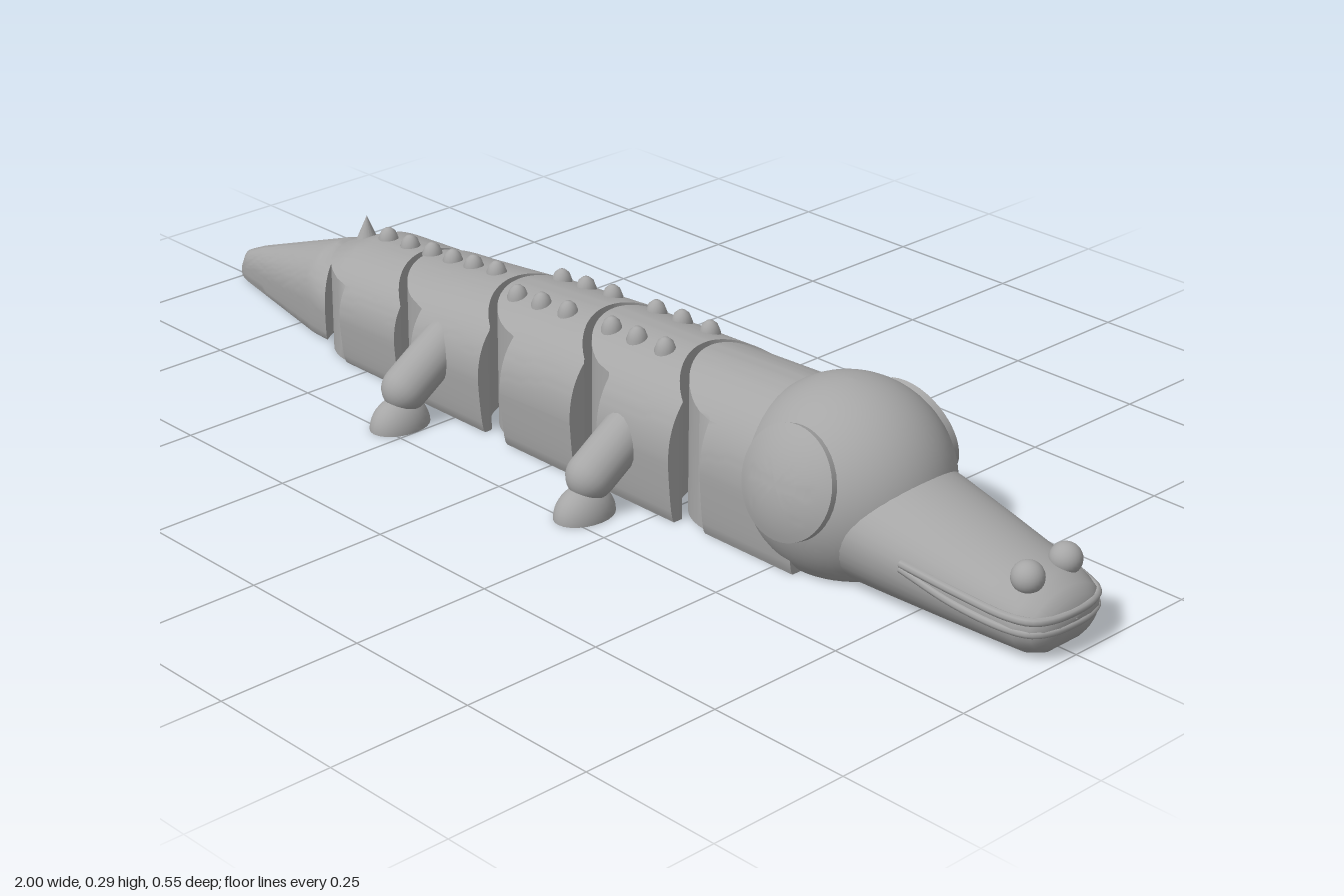
import * as THREE from 'three';
import { toCreasedNormals } from 'three/addons/utils/BufferGeometryUtils.js';

const grey = new THREE.MeshStandardMaterial({ color: 0xa6a6a6 });
grey.name = 'grey plastic';
const greyOpen = grey;

// Linear lookup in a short list of [position, value] pairs
function lookup(table, x) {
  if (x <= table[0][0]) return table[0][1];
  for (let i = 1; i < table.length; i++) {
    const [x0, v0] = table[i - 1], [x1, v1] = table[i];
    if (x <= x1) return v0 + (v1 - v0) * (x - x0) / (x1 - x0);
  }
  return table[table.length - 1][1];
}

const BACK = [[-0.68, 0.165], [-0.6, 0.196], [-0.4, 0.208], [-0.2, 0.23], [0, 0.245], [0.2, 0.25], [0.4, 0.258]];
const backHeight = x => lookup(BACK, x);
const JOINT_R = 0.115, GAP = 0.015, HOLE_R = 0.083;

// Round rear end, stepping out to the full width at the joint centre
const roundRear = c => z => Math.abs(z) < JOINT_R ? c - Math.sqrt(JOINT_R ** 2 - z * z) : c;
// Hollow front end that wraps the next joint
const hollowFront = c => z => c - Math.sqrt((JOINT_R + GAP) ** 2 - Math.min(Math.abs(z), JOINT_R) ** 2);

// Domed, flat-bottomed body: ends follow xl(z) and xr(z); an optional joint hole is cut in the base
function domedBody({ width, height, xl, xr, taper = () => 1, hole = null, nu = 10, nk = 56 }) {
  const pos = [], flat = [];
  const point = (i, k, top) => {
    const t = Math.PI * k / nk, z0 = width * Math.cos(t), u = i / nu;
    const x = xl(z0) + (xr(z0) - xl(z0)) * u, h = height(x), mid = h * 0.42;
    const s = Math.max(0, (Math.abs(Math.cos(t)) - 0.9) / 0.1);
    const y = top ? mid + (h - mid) * Math.pow(Math.max(0, Math.sin(t)), 0.85) : mid * s * s;
    return [x, y, z0 * taper(x)];
  };
  const quad = (a, b, c, d) => pos.push(...a, ...b, ...c, ...a, ...c, ...d);
  for (let k = 0; k <= nk; k++) flat.push(Math.abs(Math.cos(Math.PI * k / nk)) <= 0.9);
  for (let k = 0; k < nk; k++) {
    for (let i = 0; i < nu; i++) {
      quad(point(i, k, true), point(i + 1, k, true), point(i + 1, k + 1, true), point(i, k + 1, true));
      if (!hole || !(flat[k] && flat[k + 1]))
        quad(point(i, k, false), point(i, k + 1, false), point(i + 1, k + 1, false), point(i + 1, k, false));
    }
    quad(point(0, k, true), point(0, k + 1, true), point(0, k + 1, false), point(0, k, false));
    quad(point(nu, k, true), point(nu, k, false), point(nu, k + 1, false), point(nu, k + 1, true));
  }
  if (hole) {
    const left = [], right = [];
    for (let k = 0; k <= nk; k++) if (flat[k]) {
      const a = point(0, k, false), b = point(nu, k, false);
      left.push(new THREE.Vector2(a[0], a[2]));
      right.unshift(new THREE.Vector2(b[0], b[2]));
    }
    const base = new THREE.Shape([...left, ...right]);
    base.holes.push(new THREE.Path().absarc(hole, 0, HOLE_R, 0, Math.PI * 2, true));
    const g = new THREE.ShapeGeometry(base, 20).rotateX(Math.PI / 2).toNonIndexed();
    for (const v of g.attributes.position.array) pos.push(v);
  }
  const geo = new THREE.BufferGeometry();
  geo.setAttribute('position', new THREE.Float32BufferAttribute(pos, 3));
  return toCreasedNormals(geo, 0.6);
}

export function createModel() {
  const model = new THREE.Group();
  model.name = 'jointedCrocodile';
  const socketMaterial = new THREE.MeshStandardMaterial({ color: 0xa6a6a6, side: THREE.DoubleSide });
  socketMaterial.name = 'grey plastic socket';
  const add = (name, geo, x = 0, y = 0, z = 0, material = grey) => {
    const m = new THREE.Mesh(geo, material);
    m.name = name;
    m.position.set(x, y, z);
    model.add(m);
    return m;
  };

  // Body segments from tail to neck, by joint centre and half width
  const joints = [-0.555, -0.345, -0.11, 0.122, 0.348];
  const widths = [0.132, 0.145, 0.15, 0.147, 0.137];
  joints.forEach((c, i) => {
    const last = i === joints.length - 1;
    add(last ? 'neck' : 'bodySegment', domedBody({
      width: widths[i], height: backHeight, hole: c,
      xl: roundRear(c), xr: last ? () => 0.54 : hollowFront(joints[i + 1]),
    }));
    // Hinge under each joint: socket, post and link
    add('hingeSocket', new THREE.CylinderGeometry(HOLE_R, HOLE_R, 0.07, 32, 1, true), c, 0.035, 0, socketMaterial);
    add('hingeSocketRoof', new THREE.CircleGeometry(HOLE_R, 32).rotateX(Math.PI / 2), c, 0.07, 0);
    const ring = new THREE.LatheGeometry([[0.032, 0.06], [0.032, 0.001], [0.06, 0.001], [0.06, 0.06]]
      .map(p => new THREE.Vector2(...p)), 32);
    add('hingeRing', toCreasedNormals(ring, 0.6), c, 0, 0, socketMaterial);
    add('hingeLink', new THREE.BoxGeometry(0.1, 0.05, 0.04), c - 0.1, 0.027, 0);
  });

  // Tail
  add('tail', domedBody({
    width: 0.092, nu: 22, nk: 40, xl: () => -1, xr: hollowFront(joints[0]),
    height: x => lookup([[-1, 0.03], [-0.985, 0.055], [-0.94, 0.075], [-0.7, 0.16], [-0.64, 0.135]], x),
    taper: x => lookup([[-1, 0.12], [-0.98, 0.22], [-0.7, 0.96], [-0.65, 1]], x),
  }));

  // Back studs: one row at the rear, two rows ahead
  const stud = new THREE.LatheGeometry([[0.018, -0.02], [0.018, 0], [0.013, 0.013], [0.006, 0.019], [0, 0.02]]
    .map(p => new THREE.Vector2(...p)), 16);
  for (const x of [-0.575, -0.515, -0.455, -0.4, -0.345, -0.285]) add('backStud', stud, x, backHeight(x), 0);
  for (const x of [-0.175, -0.115, -0.05, 0.055, 0.115, 0.18])
    for (const z of [-0.05, 0.05]) add('backStud', stud, x, backHeight(x) - 0.007, z);
  add('tailSpike', new THREE.ConeGeometry(0.026, 0.06, 16), -0.635, 0.193, 0);

  // Legs: sloping upper leg and domed foot
  for (const x of [-0.292, 0.168]) for (const s of [-1, 1]) {
    const a = new THREE.Vector3(0, 0.125, 0.11 * s), b = new THREE.Vector3(0, 0.064, 0.202 * s);
    const leg = add('upperLeg', new THREE.CapsuleGeometry(0.041, a.distanceTo(b), 8, 20), x, 0.0945, 0.156 * s);
    leg.quaternion.setFromUnitVectors(new THREE.Vector3(0, 1, 0), a.clone().sub(b).normalize());
    const foot = new THREE.SphereGeometry(1, 24, 10, 0, Math.PI * 2, 0, Math.PI / 2).scale(0.042, 0.052, 0.057);
    add('foot', foot, x, 0, 0.216 * s);
    add('footSole', new THREE.CircleGeometry(1, 24).rotateX(Math.PI / 2).scale(0.042, 1, 0.057), x, 0, 0.216 * s);
  }

  // Head: ball pressed flat underneath
  const ball = new THREE.SphereGeometry(1, 48, 36).scale(0.172, 0.167, 0.163).translate(0.54, 0.127, 0);
  const bp = ball.attributes.position;
  for (let i = 0; i < bp.count; i++) bp.setY(i, Math.max(0, bp.getY(i)));
  ball.computeVertexNormals();
  add('head', ball);

  // Domed side discs
  const cap = [new THREE.Vector2(0, 0.176)];
  for (let i = 1; i <= 8; i++) {
    const a = 0.55 * i / 8;
    cap.push(new THREE.Vector2(0.176 * Math.sin(a), 0.176 * Math.cos(a)));
  }
  cap.push(new THREE.Vector2(0.09, 0.12));
  const discGeo = toCreasedNormals(new THREE.LatheGeometry(cap.reverse(), 40), 0.6);
  for (const s of [-1, 1]) {
    const disc = add('sideDisc', discGeo, 0.542, 0.125, 0);
    disc.quaternion.setFromUnitVectors(new THREE.Vector3(0, 1, 0), new THREE.Vector3(0, 0.27, 0.963 * s).normalize());
  }

  // Snout: flat-bottomed oval rings, each [x, half width, top, bottom]
  const rings = [[0.6, 0.13, 0.2, 0], [0.7, 0.122, 0.18, 0], [0.8, 0.112, 0.155, 0], [0.9, 0.1, 0.13, 0],
    [0.95, 0.092, 0.115, 0], [0.975, 0.08, 0.103, 0.008], [0.988, 0.062, 0.09, 0.022], [0.995, 0.035, 0.075, 0.04], [0.997, 0.001, 0.06, 0.058]];
  const n = 40, sp = [], idx = [];
  rings.forEach(([x, w, top, bottom], r) => {
    const mid = bottom + (top - bottom) * 0.5;
    for (let k = 0; k < n; k++) {
      const t = 2 * Math.PI * k / n, sn = Math.sin(t);
      const y = sn > 0 ? mid + (top - mid) * sn : mid + (mid - bottom) * Math.max(-1, sn * 1.15);
      sp.push(x, y, w * Math.cos(t));
      if (r < rings.length - 1) {
        const a = r * n + k, b = r * n + (k + 1) % n;
        idx.push(a, a + n, b, b, a + n, b + n);
      }
    }
  });
  const snout = new THREE.BufferGeometry();
  snout.setAttribute('position', new THREE.Float32BufferAttribute(sp, 3));
  snout.setIndex(idx);
  snout.computeVertexNormals();
  add('snout', snout);

  // Lips running round the tip of the snout
  for (const [name, dy] of [['upperLip', 0.01], ['lowerLip', -0.01]]) {
    const half = [[0.75, 0.092, 0.113], [0.85, 0.074, 0.104], [0.94, 0.063, 0.09], [0.974, 0.061, 0.074], [0.988, 0.06, 0.045]];
    const path = [...half, [0.993, 0.06, 0], ...half.map(([x, y, z]) => [x, y, -z]).reverse()]
      .map(([x, y, z]) => new THREE.Vector3(x, y + dy * (x > 0.8 ? 1 : 0.4), z));
    add(name, new THREE.TubeGeometry(new THREE.CatmullRomCurve3(path), 64, 0.007, 8));
  }

  // Small round eyes on the snout tip
  for (const s of [-1, 1]) add('eye', new THREE.SphereGeometry(0.026, 24, 16), 0.936, 0.12, 0.043 * s);

  return model;
}
